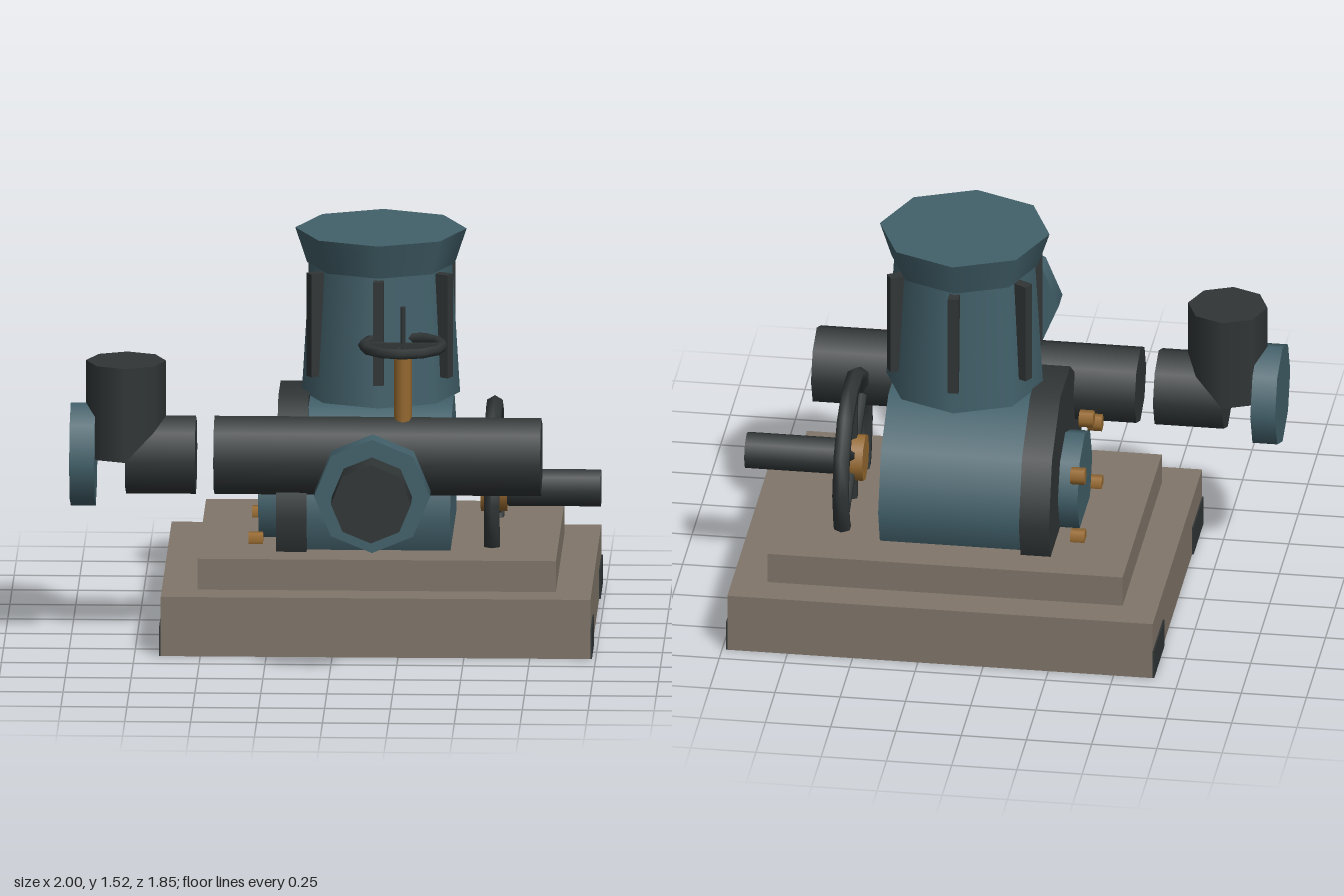
import * as THREE from 'three';

const mat = (color) => new THREE.MeshStandardMaterial({ color });
const concrete = mat(0x80766a), blue = mat(0x42606a), dark = mat(0x303536), brass = mat(0x96692f);

export function createModel() {
  const model = new THREE.Group();

  const add = (name, geometry, material, x, y, z, parent = model) => {
    const mesh = new THREE.Mesh(geometry, material);
    mesh.name = name;
    mesh.position.set(x, y, z);
    parent.add(mesh);
    return mesh;
  };
  const group = (name, x, y, z) => {
    const g = new THREE.Group();
    g.name = name;
    g.position.set(x, y, z);
    model.add(g);
    return g;
  };
  // Box and cylinders given by their end coordinates
  const box = (name, m, x0, x1, y0, y1, z0, z1) =>
    add(name, new THREE.BoxGeometry(x1 - x0, y1 - y0, z1 - z0), m, (x0 + x1) / 2, (y0 + y1) / 2, (z0 + z1) / 2);
  const cylX = (name, m, r, x0, x1, y, z, sides = 8) =>
    add(name, new THREE.CylinderGeometry(r, r, x1 - x0, sides).rotateZ(Math.PI / 2), m, (x0 + x1) / 2, y, z);
  const cylY = (name, m, rTop, rBottom, y0, y1, x, z, sides = 8) =>
    add(name, new THREE.CylinderGeometry(rTop, rBottom, y1 - y0, sides), m, x, (y0 + y1) / 2, z);
  const cylZ = (name, m, r, z0, z1, x, y, sides = 8) =>
    add(name, new THREE.CylinderGeometry(r, r, z1 - z0, sides).rotateX(Math.PI / 2), m, x, y, (z0 + z1) / 2);

  // Stepped plinth with corner pads
  box('plinth', concrete, -0.65, 0.98, 0, 0.23, -0.925, 0.37);
  box('plinthStep', concrete, -0.515, 0.845, 0.23, 0.35, -0.79, 0.24);
  for (const [x0, x1] of [[-0.656, -0.4], [0.73, 0.986]])
    for (const [z0, z1] of [[-0.924, -0.66], [0.11, 0.369]])
      box('cornerPad', dark, x0, x1, 0.001, 0.115, z0, z1);

  // Pump casing, flange, end cover and ring of bolts
  const cy = 0.49, cz = -0.275;
  cylX('casing', blue, 0.39, -0.11, 0.44, cy, cz, 10);
  cylX('casingFlange', dark, 0.43, -0.22, -0.105, cy, cz, 10);
  cylX('endCover', blue, 0.195, -0.295, -0.215, cy, cz);
  for (let i = 0; i < 6; i++) {
    const a = Math.PI / 6 + i * Math.PI / 3;
    cylX('coverBolt', brass, 0.033, -0.33, -0.275, cy + 0.26 * Math.sin(a), cz + 0.26 * Math.cos(a), 6);
  }

  // Upright motor with cap and cooling fins
  const mx = 0.165;
  cylY('motorBody', blue, 0.27, 0.3, 0.89, 1.39, mx, cz);
  cylY('motorCap', blue, 0.325, 0.28, 1.39, 1.525, mx, cz);
  for (let i = 0; i < 6; i++) {
    const a = i * Math.PI / 3;
    const fin = add('motorFin', new THREE.BoxGeometry(0.04, 0.4, 0.06), dark,
      mx + 0.28 * Math.sin(a), 1.18, cz + 0.28 * Math.cos(a));
    fin.rotation.y = a;
  }

  // Main pipe, elbow and its end flange
  const py = 0.72, pz = 0.088, pr = 0.152;
  cylX('mainPipe', dark, pr, -0.455, 0.785, py, pz);
  cylX('elbowPipe', dark, pr, -0.79, -0.525, py, pz);
  cylY('elbowRiser', dark, pr, pr, py, 1.085, -0.79, pz);
  cylX('elbowFlange', blue, 0.2, -1, -0.905, py, pz);

  // Separate pipe piece in front
  cylZ('frontPipe', dark, pr, 0.56, 0.92, mx, py);
  cylZ('frontFlange', blue, 0.22, 0.69, 0.785, mx, py);

  // Valve stem with small horizontal handwheel
  const vx = 0.26;
  cylY('valveStem', brass, 0.034, 0.034, 0.83, 1.13, vx, pz);
  cylY('valveRod', dark, 0.011, 0.011, 1.1, 1.3, vx, pz, 6);
  const valveWheel = group('valveWheel', vx, 1.15, pz);
  add('valveRim', new THREE.TorusGeometry(0.15, 0.021, 6, 12).rotateX(Math.PI / 2), dark, 0, 0, 0, valveWheel);
  add('valveSpoke', new THREE.BoxGeometry(0.28, 0.02, 0.02), dark, 0, 0, 0, valveWheel);

  // Large side handwheel, hub and shaft
  const wy = 0.52;
  const wheel = group('sideWheel', 0.595, wy, cz);
  add('wheelRim', new THREE.TorusGeometry(0.315, 0.034, 6, 14).rotateY(Math.PI / 2), dark, 0, 0, 0, wheel);
  for (let i = 0; i < 3; i++)
    add('wheelSpoke', new THREE.CylinderGeometry(0.022, 0.022, 0.62, 6), dark, 0, 0, 0, wheel).rotation.x = i * Math.PI / 3;
  cylX('wheelHub', brass, 0.093, 0.545, 0.645, wy, cz);
  cylX('shaft', dark, 0.072, 0.6, 1, wy, cz);

  return model;
}
